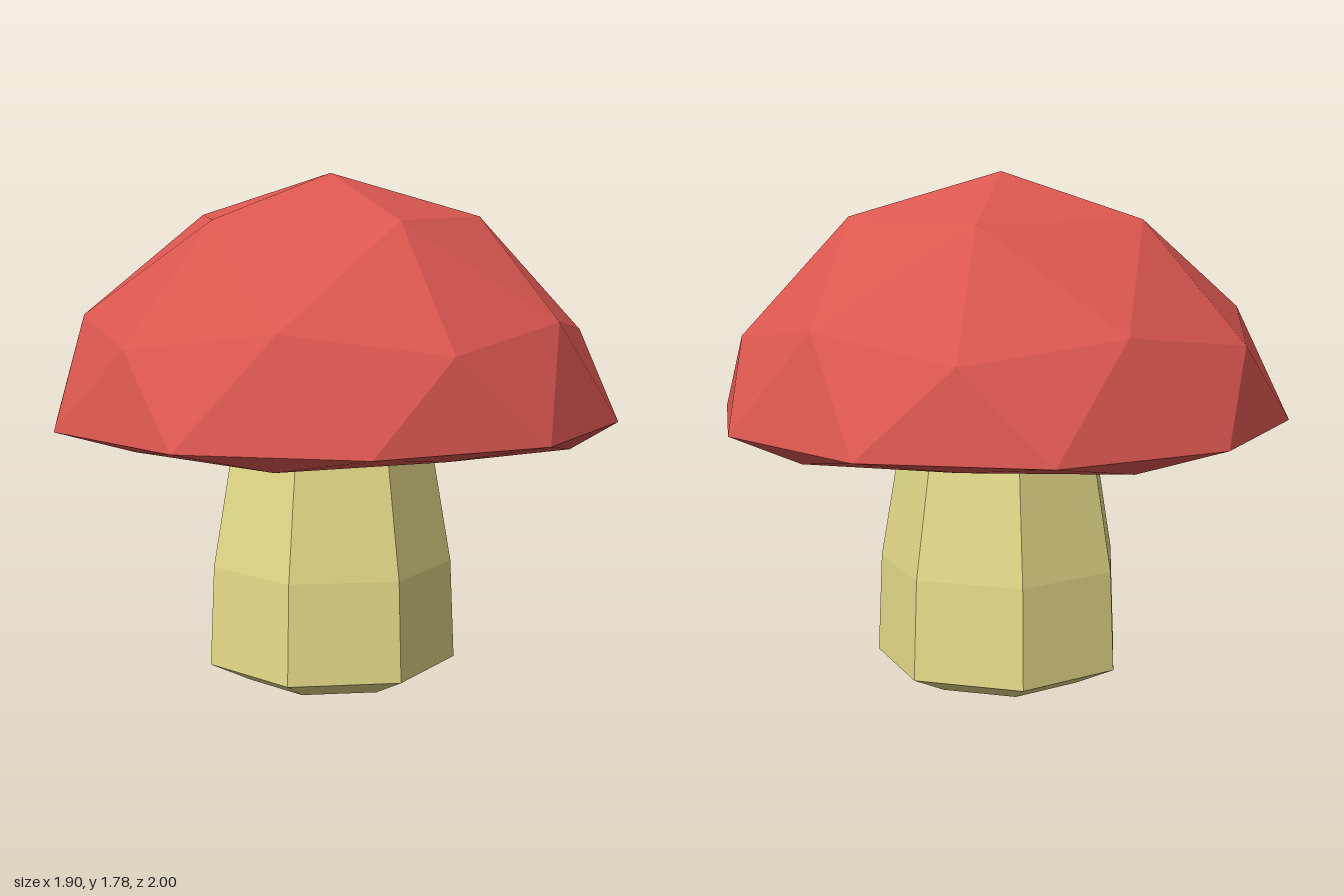
import * as THREE from 'three';

// Height of each vertex ring of the unit sphere once pressed into a mushroom cap:
// dome above the rim (0), short lip below it, then a hollow underside.
const CAP_RINGS = [
  [1, 1.78], [0.851, 1.63], [0.526, 1.3], [0.447, 1.23], [0, 0.94],
  [-0.447, 0.885], [-0.526, 0.9], [-0.851, 1.2], [-1, 1.24],
];

function capHeight(y) {
  let best = CAP_RINGS[0];
  for (const ring of CAP_RINGS) {
    if (Math.abs(ring[0] - y) < Math.abs(best[0] - y)) best = ring;
  }
  return best[1];
}

function buildMesh(name, geometry, color) {
  const material = new THREE.MeshStandardMaterial({ color, flatShading: true });
  const mesh = new THREE.Mesh(geometry, material);
  mesh.name = name;
  return mesh;
}

// Cap: subdivided icosahedron standing on a corner, remapped ring by ring
function createCap() {
  const geometry = new THREE.IcosahedronGeometry(1, 1);
  geometry.rotateX(-Math.atan((1 + Math.sqrt(5)) / 2));
  geometry.rotateY(Math.PI / 2);
  const pos = geometry.attributes.position;
  for (let i = 0; i < pos.count; i++) pos.setY(i, capHeight(pos.getY(i)));
  geometry.computeVertexNormals();
  return buildMesh('cap', geometry, 0xdc5750);
}

// Stem: seven-sided taper with a bevelled foot, flat side to the front
function createStem() {
  const profile = [[0, 0], [0.3, 0], [0.445, 0.07], [0.43, 0.42], [0.345, 0.92], [0.3, 1.22]]
    .map(([r, y]) => new THREE.Vector2(r, y));
  const geometry = new THREE.LatheGeometry(profile, 7, Math.PI);
  const stem = buildMesh('stem', geometry, 0xe6dc8a);
  stem.position.z = -0.015;
  return stem;
}

export function createModel() {
  const model = new THREE.Group();
  model.name = 'mushroom';
  model.add(createCap(), createStem());
  return model;
}
